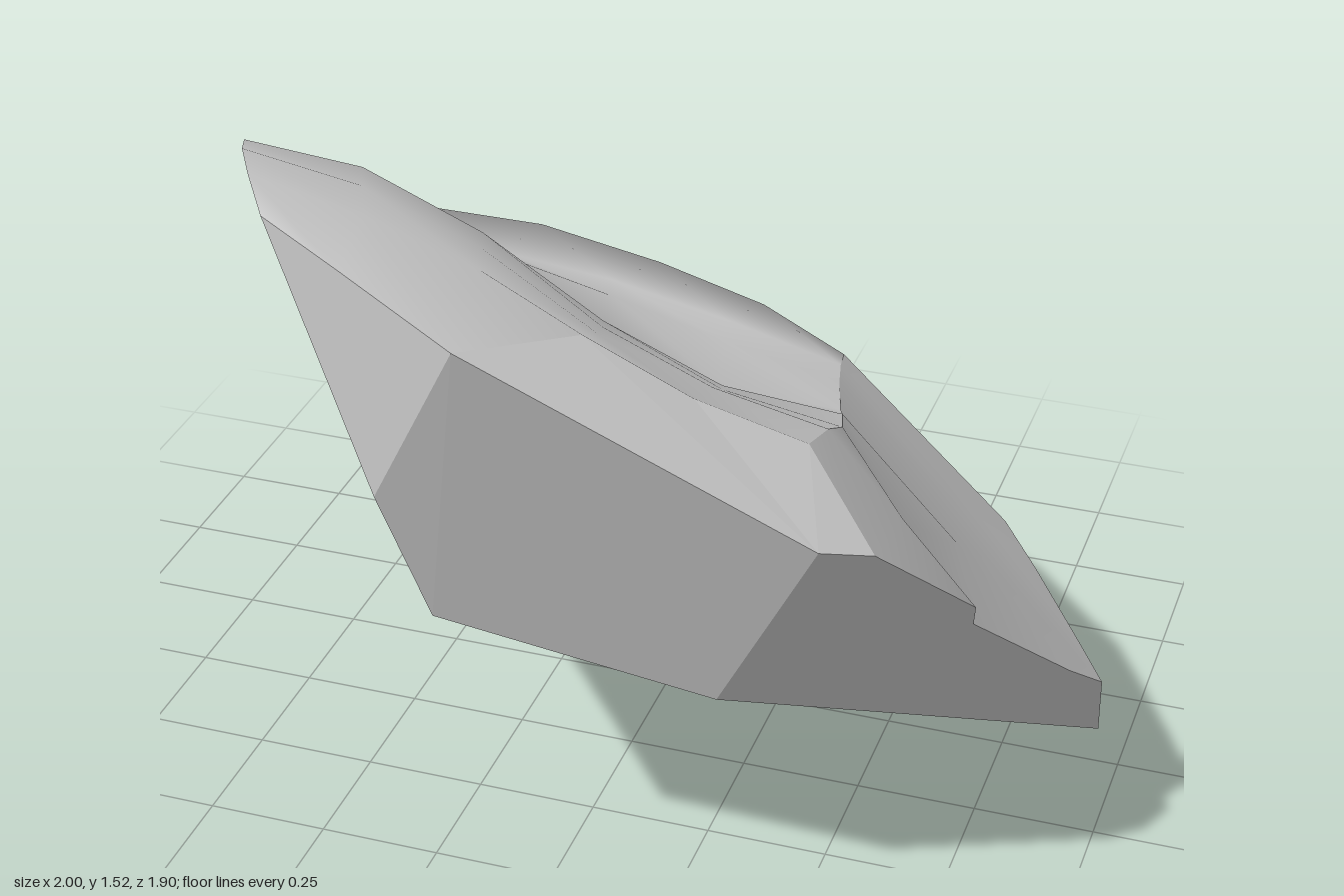
import * as THREE from 'three';

// Shared corners of the rock
const peak = [0, 1.43, 0.95], chinTop = [-0.22, 1.02, 0.8], chin = [-0.16, 0.71, 0.69];
const chinLeft = [0.38, 0.6, 0.63], brow = [0.61, 1.06, 0.79];
const sideTip = [0.98, 0.2, -0.08], backCorner = [0.75, 0.05, -0.52], hip = [0.71, 0.5, -0.33];

// Front rim, then the right-hand edge and the crease across the top, all front to back
const frontRim = [[-0.46, 1.5, 0.7], [-0.27, 1.47, 0.8], peak, [0.15, 1.37, 0.71], [0.34, 1.25, 0.66], [0.53, 1.15, 0.58]];
const rightEdge = [[-0.53, 1.525, 0.597], [-0.6, 1.51, 0.471], [-0.67, 1.45, 0.316], [-0.77, 1.23, 0.008], [-0.87, 1.04, -0.28], [-0.93, 0.97, -0.425]];
const crease = [[0.53, 1.11, 0.45], [0.53, 1.06, 0.35], [0.49, 1, 0.2], [0.46, 0.95, 0.1], [0.39, 0.87, -0.15], [0.36, 0.84, -0.27]];
const ridge = [[-1, 0.82, -0.64], [-0.73, 0.88, -0.61], [-0.4, 0.9, -0.57], [-0.1, 0.9, -0.48], [0.15, 0.87, -0.42], [0.34, 0.81, -0.37]];
const foot = [[-0.88, 0.15, -0.87], [-0.62, 0.11, -0.88], [-0.4, 0.04, -0.95], [-0.1, 0, -0.94], [0.35, 0.04, -0.68], backCorner];
const leftEdge = [[0.69, 1.02, 0.704], [0.82, 0.78, 0.442], [0.81, 0.72, 0.407], [0.95, 0.47, 0.131], [1, 0.4, 0.046], [0.92, 0.43, -0.06], [0.8, 0.47, -0.22], hip];

const mix = (a, b, t) => a.map((v, k) => v + (b[k] - v) * t);

function addMesh(group, name, points, index, flat) {
  const geometry = new THREE.BufferGeometry();
  geometry.setAttribute('position', new THREE.Float32BufferAttribute(points.flat(), 3));
  geometry.setIndex(index);
  geometry.computeVertexNormals();
  const material = new THREE.MeshStandardMaterial({ color: 0xcccccc, flatShading: flat, side: THREE.DoubleSide });
  const mesh = new THREE.Mesh(geometry, material);
  mesh.name = name;
  group.add(mesh);
}

// Flat facet, fanned from its first corner
function addFacet(group, name, points) {
  const index = [];
  for (let i = 1; i < points.length - 1; i++) index.push(0, i, i + 1);
  addMesh(group, name, points, index, true);
}

// Smooth skin through equal-length rows, running front to back
function addSkin(group, name, rows) {
  const n = rows[0].length, index = [];
  for (let i = 0; i < rows.length - 1; i++) {
    for (let j = 0; j < n - 1; j++) {
      const a = i * n + j, b = a + n;
      index.push(a, a + 1, b, a + 1, b + 1, b);
    }
  }
  addMesh(group, name, rows.flat(), index, false);
}

export function createModel() {
  const rock = new THREE.Group();
  rock.name = 'rock';

  // Top: swells along the right edge, dips behind the crease, rolls over the ridge and down the back
  const swell = [0.02, 0.04, 0.06, 0.06, 0.04, 0.02];
  const topRows = rightEdge.map((start, i) => frontRim.map((_, j) => {
    const t = j / (frontRim.length - 1);
    const p = mix(start, crease[i], t);
    p[1] += swell[i] * Math.sin(2 * Math.PI * t);
    return p;
  }));
  // Ease the rows nearest the ridge up to its rounded crown
  topRows[4][3][1] += 0.04;
  topRows[4][4][1] += 0.04;
  topRows[5][3][1] += 0.04;
  topRows[5][4][1] += 0.04;
  const backRow = ridge.map((p, j) => mix(p, foot[j], 0.5));
  addSkin(rock, 'topAndBack', [frontRim, ...topRows, ridge, backRow, foot]);

  // Sloping left shoulder between the crease and the outer edge
  const shoulder = [frontRim[5], ...crease, ridge[5]];
  addSkin(rock, 'leftShoulder', shoulder.map((p, i) => [0, 0.5, 1].map(t => mix(p, leftEdge[i], t))));

  // Broken flat faces
  addFacet(rock, 'frontFace', [peak, chinTop, chin, chinLeft, brow]);
  addFacet(rock, 'frontChip', [chinTop, peak, frontRim[1], frontRim[0]]);
  addFacet(rock, 'rightFace', [chin, chinTop, frontRim[0], ...rightEdge, ridge[0], foot[0]]);
  addFacet(rock, 'underside', [chin, ...foot, sideTip, chinLeft]);
  addFacet(rock, 'leftFace', [chinLeft, sideTip, ...leftEdge.slice(0, 5).reverse(), brow]);
  addFacet(rock, 'browChip', [brow, leftEdge[0], frontRim[5], frontRim[4], frontRim[3], peak]);
  addFacet(rock, 'hipChip', [backCorner, hip, leftEdge[4], sideTip]);
  addFacet(rock, 'backChip', [backCorner, ridge[5], hip]);
  return rock;
}
